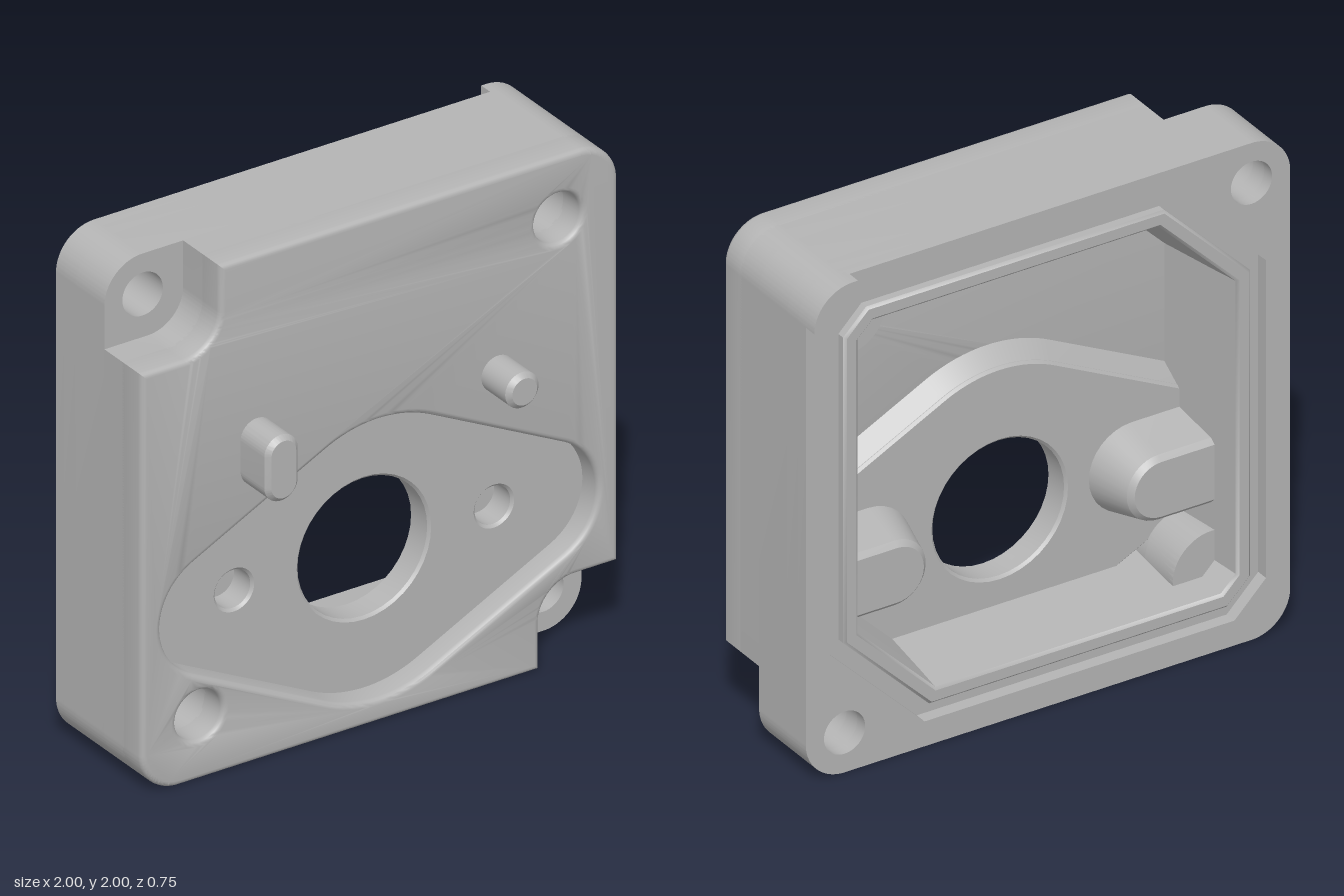
import * as THREE from 'three';
import { toCreasedNormals } from 'three/addons/utils/BufferGeometryUtils.js';

const PI = Math.PI;
const metal = new THREE.MeshStandardMaterial({ color: 0xb4b4b4 });
metal.name = 'castMetal';

const toShape = (pts) => new THREE.Shape(pts);
const circle = (x, y, r) => new THREE.Shape().absarc(x, y, r, 0, PI * 2, false);

// Shape with holes, extruded from z0 to z1 with an optional rounded edge
function slab(shape, holes, z0, z1, bevel = 0, bevelSegments = 1) {
  const s = shape.clone();
  s.holes = holes;
  const g = new THREE.ExtrudeGeometry(s, {
    depth: z1 - z0 - 2 * bevel, curveSegments: 20, bevelEnabled: bevel > 0,
    bevelThickness: bevel, bevelSize: bevel, bevelOffset: -bevel, bevelSegments,
  });
  g.translate(0, 0, z0 + bevel);
  return toCreasedNormals(g, 0.6);
}

// Wall between two counter-clockwise loops; faces outward when za < zb
function loft(a, za, b, zb) {
  const pos = [];
  const n = a.length;
  for (let i = 0; i < n; i++) {
    const j = (i + 1) % n;
    const A = [a[i].x, a[i].y, za], B = [a[j].x, a[j].y, za];
    const C = [b[j].x, b[j].y, zb], D = [b[i].x, b[i].y, zb];
    pos.push(...A, ...B, ...C, ...A, ...C, ...D);
  }
  const g = new THREE.BufferGeometry();
  g.setAttribute('position', new THREE.Float32BufferAttribute(pos, 3));
  g.computeVertexNormals();
  return toCreasedNormals(g, 0.6);
}

// Cavity outline grown by d: two large chamfers, and two small corners or boss arcs
function cavity(d, boss = false) {
  const h = 0.78 + d, big = 0.32 + 0.586 * d, small = 0.06 + 0.586 * d;
  const half = [[h, -h + big]];
  if (boss) {
    const r = 0.16, c = 0.752;
    const a0 = -Math.acos((h - c) / r), a1 = -PI - Math.asin((h - c) / r);
    for (let i = 0; i <= 14; i++) {
      const a = a0 + (a1 - a0) * i / 14;
      half.push([c + r * Math.cos(a), c + r * Math.sin(a)]);
    }
  } else half.push([h, h - small], [h - small, h]);
  half.push([-h + big, h]);
  return [...half, ...half.map(([x, y]) => [-x, -y])].map(([x, y]) => new THREE.Vector2(x, y + 1));
}

// Flange outline: four tangent arcs, grown by d
function flange(d) {
  const t = Math.atan(2), pts = [];
  const arc = (x, y, r, a0, a1) => {
    for (let i = 0; i <= 20; i++) {
      const a = a0 + (a1 - a0) * i / 20;
      pts.push(new THREE.Vector2(x + (r + d) * Math.cos(a), y + (r + d) * Math.sin(a)));
    }
  };
  arc(0.67, 0.64, 0.246, -t, t);
  arc(0, 0.69, 0.5, t, PI - t);
  arc(-0.67, 0.64, 0.246, PI - t, PI + t);
  arc(0, 0.59, 0.5, PI + t, 2 * PI - t);
  return pts;
}

// Screw boss outline reaching from the side wall
function bossOutline(side, r) {
  const pts = [[0.9, r], ...Array.from({ length: 17 }, (_, i) => {
    const a = PI / 2 + PI * i / 16;
    return [0.545 + r * Math.cos(a), r * Math.sin(a)];
  }), [0.9, -r]].map(([x, y]) => new THREE.Vector2(side * x, y + 0.64));
  return side < 0 ? pts.reverse() : pts;
}

function stadium(x, y, r, half) {
  return new THREE.Shape().absarc(x, y + half, r, 0, PI, false).absarc(x, y - half, r, PI, 2 * PI, false);
}

export function createModel() {
  const group = new THREE.Group();
  const add = (name, geometry) => {
    const m = new THREE.Mesh(geometry, metal);
    m.name = name;
    group.add(m);
  };

  // Outlines
  const full = new THREE.Shape()
    .absarc(0.84, 0.16, 0.16, -PI / 2, 0, false).absarc(0.84, 1.84, 0.16, 0, PI / 2, false)
    .absarc(-0.84, 1.84, 0.16, PI / 2, PI, false).absarc(-0.84, 0.16, 0.16, PI, 1.5 * PI, false);
  const notched = new THREE.Shape();
  notched.moveTo(-0.84, 0).lineTo(0.67, 0).absarc(0.82, 0.18, 0.15, PI, PI / 2, true)
    .lineTo(1, 0.33).absarc(0.84, 1.84, 0.16, 0, PI / 2, false)
    .lineTo(-0.67, 2).absarc(-0.82, 1.82, 0.15, 0, -PI / 2, true)
    .lineTo(-1, 1.67).absarc(-0.84, 0.16, 0.16, PI, 1.5 * PI, false);
  const through = [circle(-0.84, 1.84, 0.085), circle(0.84, 0.16, 0.085)];
  const blind = [circle(0.75, 1.755, 0.098), circle(-0.755, 0.25, 0.098)];
  const open = toShape(cavity(0)), bossed = toShape(cavity(0, true));

  // Housing in layers from back to front
  add('backRim', slab(full, [toShape(cavity(0.12)), ...through], -0.32, -0.27));
  add('sealLip', slab(toShape(cavity(0.06)), [open], -0.32, -0.27, 0.01));
  add('rearBody', slab(full, [open, ...through], -0.27, -0.2));
  add('middleBody', slab(full, [bossed, ...through], -0.2, -0.02));
  add('frontBody', slab(notched, [bossed, ...blind], -0.02, 0.1));
  add('frontPlate', slab(notched, [toShape(flange(0)), ...blind], 0.07, 0.21, 0.022, 4));

  // Drafted cavity walls
  add('rearCavityWall', loft(cavity(-0.015), -0.2, cavity(0), -0.31));
  add('frontCavityWall', loft(cavity(-0.05, true), 0.08, cavity(-0.015, true), -0.2));

  // Sunken flange with its raised back and sloping edge
  const bores = [circle(0, 0.64, 0.272), circle(0.545, 0.64, 0.075), circle(-0.545, 0.64, 0.075)];
  add('flangeFloor', slab(toShape(flange(0.02)), bores, -0.01, 0.11, 0.01));
  add('flangeSkirt', loft(flange(0.01), -0.01, flange(0.08), 0.08));

  // Tapered bosses behind the two screw holes
  for (const side of [-1, 1]) {
    const top = bossOutline(side, 0.11), mid = bossOutline(side, 0.13), base = bossOutline(side, 0.18);
    add('screwBoss', loft(mid, -0.18, base, 0));
    add('screwBossEdge', loft(top, -0.2, mid, -0.18));
    add('screwBossTop', slab(toShape(top), [], -0.2, -0.19));
    const bottom = new THREE.CircleGeometry(0.1, 24);
    bottom.translate(side * 0.545, 0.64, 0);
    add('screwHoleBottom', bottom);
  }

  // Locating pins on the front
  add('slotPin', slab(stadium(-0.515, 1.225, 0.07, 0.06), [], 0.18, 0.375, 0.018));
  add('roundPin', slab(circle(0.495, 1.225, 0.07), [], 0.18, 0.375, 0.018));

  // Curved lip on the back corner
  const tab = new THREE.Shape();
  tab.moveTo(1, 1.825).absarc(0.84, 1.84, 0.16, 0, PI / 2, false)
    .lineTo(0.82, 2).lineTo(0.82, 1.94).absarc(0.84, 1.84, 0.1, PI / 2, 0, true).lineTo(0.94, 1.825);
  add('cornerLip', slab(tab, [], -0.375, -0.3));

  return group;
}
